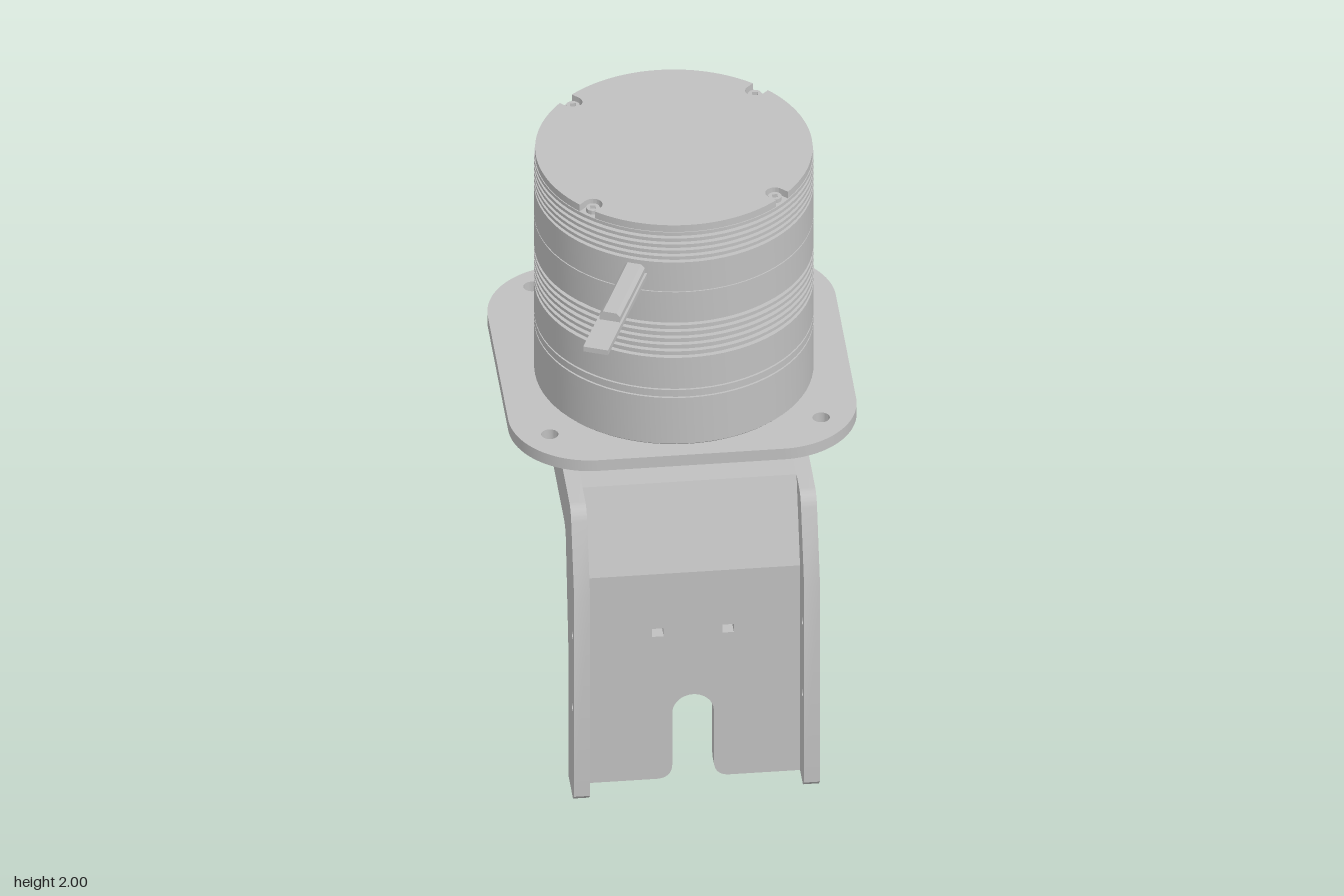
import * as THREE from 'three';
import { toCreasedNormals } from 'three/addons/utils/BufferGeometryUtils.js';

const AXIS_Z = -0.115; // motor axis

export function createModel() {
  const model = new THREE.Group();
  model.name = 'bracketMotor';
  const metal = new THREE.MeshStandardMaterial({ color: 0xc0c0c0 });
  metal.name = 'grey metal';

  const add = (name, geometry, parent = model) => {
    const mesh = new THREE.Mesh(toCreasedNormals(geometry, 0.5), metal);
    mesh.name = name;
    parent.add(mesh);
    return mesh;
  };
  const extrude = (shape, depth) =>
    new THREE.ExtrudeGeometry(shape, { depth, bevelEnabled: false, curveSegments: 16 });
  // Horizontal slab: shape (x, -z), rising from y0 to y1
  const slab = (shape, y0, y1) => extrude(shape, y1 - y0).rotateX(-Math.PI / 2).translate(0, y0, 0);
  // Upright slab: shape (z, y), spanning x0 to x1
  const sideSlab = (shape, x0, x1) => extrude(shape, x1 - x0).rotateY(-Math.PI / 2).translate(x1, 0, 0);
  const polygon = (pts) => new THREE.Shape(pts.map(([x, y]) => new THREE.Vector2(x, y)));
  const hole = (shape, x, y, r) =>
    shape.holes.push(new THREE.Path().absarc(x, y, r, 0, Math.PI * 2, true));
  const rectHole = (shape, x, y, w, h) =>
    shape.holes.push(new THREE.Path([[-w, -h], [-w, h], [w, h], [w, -h]]
      .map(([a, b]) => new THREE.Vector2(x + a / 2, y + b / 2))));
  const holeRing = (shape, cy, count, radius, r, phase = 0) => {
    for (let i = 0; i < count; i++) {
      const a = phase + (i / count) * Math.PI * 2;
      hole(shape, radius * Math.cos(a), cy + radius * Math.sin(a), r);
    }
  };
  const lathe = (pts, segments = 72) =>
    new THREE.LatheGeometry(pts.map(([r, y]) => new THREE.Vector2(r, y)), segments);

  // --- Bracket ---
  const bracket = new THREE.Group();
  bracket.name = 'bracket';
  model.add(bracket);

  // Bent side flanges
  const flange = new THREE.Shape();
  flange.moveTo(0.385, 0);
  flange.lineTo(0.51, 0);
  flange.lineTo(0.545, 0.03);
  flange.lineTo(0.545, 0.77);
  flange.lineTo(0.46, 1.005);
  flange.quadraticCurveTo(0.445, 1.045, 0.405, 1.045);
  flange.lineTo(-0.495, 1.045);
  flange.lineTo(-0.495, 0.915);
  flange.quadraticCurveTo(-0.495, 0.88, -0.46, 0.88);
  flange.lineTo(0.255, 0.88);
  flange.quadraticCurveTo(0.3, 0.88, 0.31, 0.83);
  flange.lineTo(0.385, 0.45);
  for (const y of [0.335, 0.605]) hole(flange, 0.495, y, 0.013);
  add('leftFlange', sideSlab(flange, 0.335, 0.385), bracket);
  add('rightFlange', sideSlab(flange, -0.385, -0.335), bracket);

  // Upright plate with open slot
  const front = new THREE.Shape();
  front.moveTo(-0.335, 0.77);
  front.lineTo(-0.335, 0);
  front.lineTo(-0.115, 0);
  front.quadraticCurveTo(-0.065, 0, -0.065, 0.055);
  front.lineTo(-0.065, 0.245);
  front.absarc(0, 0.245, 0.065, Math.PI, 0, true);
  front.lineTo(0.065, 0.055);
  front.quadraticCurveTo(0.065, 0, 0.115, 0);
  front.lineTo(0.335, 0);
  front.lineTo(0.335, 0.77);
  for (const x of [-0.11, 0.11]) rectHole(front, x, 0.55, 0.036, 0.03);
  add('uprightPlate', extrude(front, 0.045).translate(0, 0, 0.385), bracket);

  // Sloping plate joining upright and shelf
  add('slopingPlate', sideSlab(polygon(
    [[0.385, 0.77], [0.43, 0.77], [0.33, 1.045], [0.285, 1.045], [0.3, 1.0]]), -0.335, 0.335), bracket);

  // Shelf with bore and screw holes
  const shelf = polygon([[-0.335, -0.3], [0.335, -0.3], [0.335, 0.495], [-0.335, 0.495]]);
  hole(shelf, 0, -AXIS_Z, 0.245);
  holeRing(shelf, -AXIS_Z, 20, 0.288, 0.013);
  add('shelf', slab(shelf, 1.0, 1.045), bracket);

  // --- Output hub ---
  add('hub', lathe([[0, 1.046], [0.34, 1.046], [0.345, 1.052], [0.345, 1.12],
    [0.34, 1.126], [0.325, 1.126], [0.325, 1.136], [0, 1.136]]).translate(0, 0, AXIS_Z));
  const boss = new THREE.Shape().absarc(0, -AXIS_Z, 0.238, 0, Math.PI * 2, false);
  holeRing(boss, -AXIS_Z, 4, 0.09, 0.016, Math.PI / 4);
  add('hubFace', slab(boss, 1.02, 1.046));

  // --- Mounting plate: rounded square ---
  const plate = new THREE.Shape();
  const R = 0.255, W = 0.545, y0 = -0.375, y1 = 0.71;
  plate.absarc(W - R, y0 + R, R, -Math.PI / 2, 0, false);
  plate.absarc(W - R, y1 - R, R, 0, Math.PI / 2, false);
  plate.absarc(-W + R, y1 - R, R, Math.PI / 2, Math.PI, false);
  plate.absarc(-W + R, y0 + R, R, Math.PI, Math.PI * 1.5, false);
  for (const s of [-1, 1]) {
    hole(plate, s * 0.39, 0.605, 0.027);
    hole(plate, s * 0.425, -0.215, 0.027);
  }
  rectHole(plate, 0, 0.595, 0.065, 0.032);
  holeRing(plate, -AXIS_Z, 12, 0.415, 0.014, Math.PI / 12);
  add('mountingPlate', slab(plate, 1.135, 1.175));

  // --- Motor housing with cooling grooves ---
  const OUT = 0.435, IN = 0.42;
  const profile = [[0, 1.175], [0.43, 1.175], [OUT, 1.18]];
  const groove = (y, h, r = IN) => profile.push([OUT, y], [r, y], [r, y + h], [OUT, y + h]);
  groove(1.352, 0.006, 0.428);
  groove(1.382, 0.006, 0.428);
  for (let i = 0; i < 6; i++) groove(1.503 + i * 0.0245, 0.0135);
  groove(1.75, 0.004, 0.431);
  for (let i = 0; i < 5; i++) groove(1.862 + i * 0.0225, 0.0115);
  profile.push([OUT, 1.975], [0, 1.975]);
  add('motorHousing', lathe(profile).translate(0, 0, AXIS_Z));

  // Cap with four screw notches
  const cap = new THREE.Shape();
  for (let i = 0; i < 4; i++) {
    const a = Math.PI / 4 + (i * Math.PI) / 2;
    cap.absarc(0, 0, 0.432, a - Math.PI / 2 + 0.07, a - 0.07, false);
    cap.absarc(0.403 * Math.cos(a), 0.403 * Math.sin(a), 0.03,
      a - Math.PI / 2, a + Math.PI / 2, true);
  }
  add('cap', slab(cap, 1.975, 2.0).translate(0, 0, AXIS_Z));
  for (let i = 0; i < 4; i++) {
    const a = Math.PI / 4 + (i * Math.PI) / 2;
    const screw = new THREE.Shape().absarc(0, 0, 0.021, 0, Math.PI * 2, false);
    rectHole(screw, 0, 0, 0.017, 0.017);
    add('capScrew', slab(screw, 1.975, 1.989)
      .translate(0.403 * Math.cos(a), 0, AXIS_Z + 0.403 * Math.sin(a)));
  }

  // --- Cable: sleeve and flat ribbon leaving the housing ---
  const cable = new THREE.Group();
  cable.name = 'cable';
  cable.position.set(-0.165, 0, 0.28);
  cable.rotation.y = Math.atan2(-0.165, 0.405);
  model.add(cable);
  const sleeve = polygon([[-0.033, 1.79], [0.033, 1.79], [0.033, 1.835], [0.022, 1.847],
    [-0.022, 1.847], [-0.033, 1.835]]);
  add('cableSleeve', extrude(sleeve, 0.32).translate(0, 0, -0.03), cable);
  add('cableRibbon', new THREE.BoxGeometry(0.08, 0.018, 0.47).translate(0, 1.807, 0.215), cable);

  return model;
}
